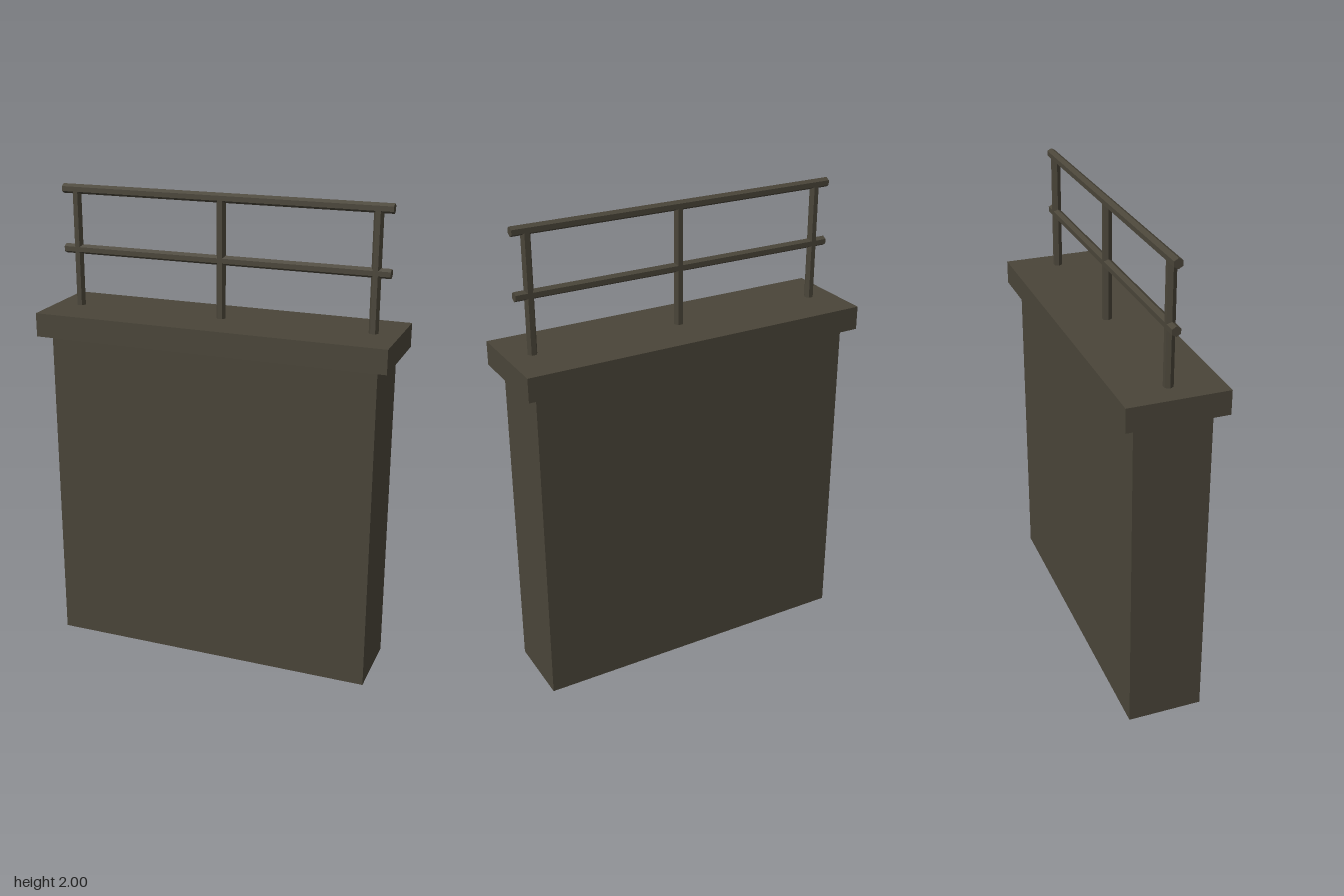
import * as THREE from 'three';

export function createModel() {
  const model = new THREE.Group();
  const concrete = new THREE.MeshStandardMaterial({ color: 0x4a4539, flatShading: true });
  concrete.name = 'dark olive grey';

  function add(name, geometry, x, y) {
    const mesh = new THREE.Mesh(geometry, concrete);
    mesh.name = name;
    mesh.position.set(x, y, 0);
    model.add(mesh);
  }

  // Six-sided bar with its corners on the x axis
  const bar = (length) => new THREE.CylinderGeometry(0.02, 0.02, length, 6).rotateY(Math.PI / 6);

  // Wall and overhanging cap
  add('wall', new THREE.BoxGeometry(1.4, 1.39, 0.315), 0, 0.695);
  add('cap', new THREE.BoxGeometry(1.495, 0.1, 0.41), 0, 1.44);

  // Upright posts
  for (const x of [-0.64, 0, 0.64]) add('post', bar(0.49), x, 1.735);

  // Horizontal rails, laid along x with a corner on top
  for (const [name, y] of [['middleRail', 1.73], ['topRail', 1.98]]) {
    add(name, bar(1.4).rotateZ(Math.PI / 2), 0, y);
  }

  return model;
}
